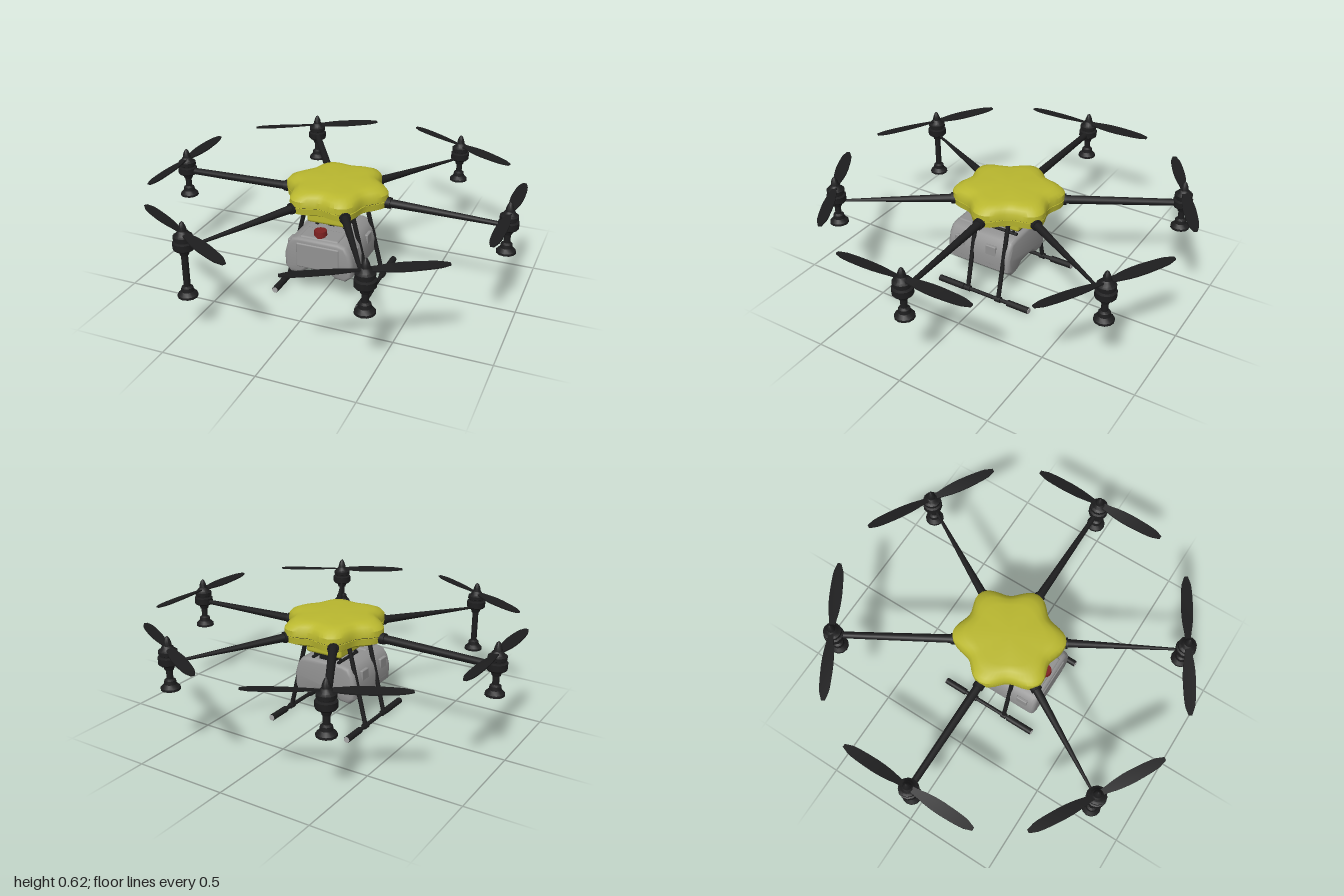
import * as THREE from 'three';
import { toCreasedNormals } from 'three/addons/utils/BufferGeometryUtils.js';
import { RoundedBoxGeometry } from 'three/addons/geometries/RoundedBoxGeometry.js';

const mat = (name, color) => Object.assign(new THREE.MeshStandardMaterial({ color }), { name });

export function createModel() {
  const yellow = mat('yellow shell', 0xbab82f);
  const black = mat('black carbon', 0x1d1d1e);
  const grey = mat('grey tank plastic', 0x929292);
  const red = mat('red cap', 0x7c2020);
  const pale = mat('pale tube end', 0xa8a8a8);
  const model = new THREE.Group();
  model.name = 'sprayDrone';

  const add = (parent, name, geometry, material, x = 0, y = 0, z = 0) => {
    const mesh = new THREE.Mesh(geometry, material);
    mesh.name = name;
    mesh.position.set(x, y, z);
    parent.add(mesh);
    return mesh;
  };

  // Round bar between two points, radius r0 at the start and r1 at the end
  const rod = (parent, name, a, b, r0, r1, material = black) => {
    const p = new THREE.Vector3(...a), q = new THREE.Vector3(...b);
    const dir = q.clone().sub(p);
    const mesh = add(parent, name, new THREE.CylinderGeometry(r1, r0, dir.length(), 12), material);
    mesh.position.copy(p).add(q).multiplyScalar(0.5);
    mesh.quaternion.setFromUnitVectors(new THREE.Vector3(0, 1, 0), dir.normalize());
    return mesh;
  };

  const lathe = (points, sides = 12) => toCreasedNormals(
    new THREE.LatheGeometry(points.map(([r, y]) => new THREE.Vector2(r, y)), sides), 0.6);

  // Six-lobed shell lofted through rings of [height, scale, lobe depth]
  const lobedShell = (rings, n = 72) => {
    const pos = [], index = [];
    rings.forEach(([y, s, depth], i) => {
      for (let j = 0; j < n; j++) {
        const t = (j / n) * Math.PI * 2;
        const r = s * (0.262 + depth * Math.cos(6 * t));
        pos.push(r * Math.cos(t), y, r * Math.sin(t) * 1.05);
        if (i === rings.length - 1) continue;
        const a = i * n + j, b = i * n + (j + 1) % n, c = a + n, d = b + n;
        index.push(a, c, b, b, c, d);
      }
    });
    const g = new THREE.BufferGeometry();
    g.setAttribute('position', new THREE.Float32BufferAttribute(pos, 3));
    g.setIndex(index);
    return toCreasedNormals(g, 0.6);
  };

  // Body shells with a dark seam between them
  add(model, 'upperShell', lobedShell([
    [0.519, 0.001, 0.027], [0.519, 0.99, 0.027], [0.55, 0.985, 0.027], [0.572, 0.92, 0.026],
    [0.588, 0.8, 0.02], [0.594, 0.65, 0.01], [0.596, 0.001, 0]]), yellow);
  add(model, 'shellSeam', lobedShell([
    [0.51, 0.96, 0.027], [0.522, 0.96, 0.027]]), black);
  add(model, 'lowerShell', lobedShell([
    [0.455, 0.001, 0], [0.455, 0.55, 0.01], [0.465, 0.86, 0.024], [0.48, 0.97, 0.027],
    [0.514, 0.985, 0.027], [0.514, 0.001, 0.027]]), yellow);
  add(model, 'belly', new RoundedBoxGeometry(0.22, 0.1, 0.28, 2, 0.015), yellow, 0, 0.437, 0.015);

  // Propeller blade: a flat box shaped along its span, with a slight pitch
  const blade = () => {
    const g = new THREE.BoxGeometry(1, 0.007, 1, 4, 1, 18);
    const widths = [0.026, 0.036, 0.052, 0.061, 0.064, 0.062, 0.058, 0.05, 0.018];
    const p = g.attributes.position;
    for (let i = 0; i < p.count; i++) {
      const t = p.getZ(i) + 0.5;
      const k = Math.min(Math.floor(t * 8), 7);
      const w = THREE.MathUtils.lerp(widths[k], widths[k + 1], t * 8 - k);
      const x = p.getX(i) * w, pitch = 0.2 * (1 - t) + 0.05;
      p.setXYZ(i, x, p.getY(i) + x * pitch, 0.01 + t * 0.37);
    }
    return toCreasedNormals(g.toNonIndexed(), 0.6);
  };
  const bladeGeo = blade();

  const motorGeo = lathe([[0, 0.472], [0.046, 0.472], [0.053, 0.48], [0.053, 0.512], [0.04, 0.517],
    [0.04, 0.524], [0.048, 0.528], [0.048, 0.546], [0.036, 0.553], [0.028, 0.566], [0.022, 0.572],
    [0.019, 0.59], [0.01, 0.612], [0, 0.622]]);
  const nozzleGeo = lathe([[0, 0], [0.051, 0], [0.05, 0.012], [0.032, 0.03], [0.029, 0.05],
    [0.018, 0.058], [0, 0.058]]);

  // Six arms; tip radius, tip height and nozzle height differ around the ring
  const arms = [
    [0.012, 0.49, 0.34], [0.006, 0.475, 0.34], [0.006, 0.475, 0.215],
    [0.018, 0.493, 0.34], [0.018, 0.493, 0.34], [0.006, 0.48, 0.34]];
  arms.forEach(([tipRadius, tipY, nozzleY], i) => {
    const arm = new THREE.Group();
    arm.name = 'armAssembly' + (i + 1);
    arm.rotation.y = -i * Math.PI / 3;
    model.add(arm);
    rod(arm, 'armSocket', [0.22, 0.503, 0], [0.305, 0.502, 0], 0.03, 0.03);
    rod(arm, 'arm', [0.28, 0.502, 0], [0.9, tipY, 0], 0.023, tipRadius);
    add(arm, 'motor', motorGeo, black, 0.92);
    rod(arm, 'nozzleStem', [0.92, nozzleY + 0.05, 0], [0.92, 0.475, 0], 0.017, 0.017);
    add(arm, 'stemCollar', new THREE.CylinderGeometry(0.032, 0.022, 0.03, 12), black, 0.92, 0.459);
    add(arm, 'nozzle', nozzleGeo, black, 0.92, nozzleY);
    for (const turn of [0, Math.PI]) {
      add(arm, 'propellerBlade', bladeGeo, black, 0.92, 0.56).rotation.y = turn;
    }
  });

  // Tank: half outline mirrored, extruded front to back
  const half = [[0.07, 0.175], [0.115, 0.14], [0.165, 0.135], [0.19, 0.16], [0.193, 0.24],
    [0.178, 0.3], [0.155, 0.335], [0.12, 0.346]];
  const inset = half.map(([x, y]) => [x * 0.9, 0.245 + (y - 0.245) * 0.84]);
  const outline = [...inset, ...inset.slice().reverse().map(([x, y]) => [-x, y])];
  const tankShape = new THREE.Shape(outline.map(([x, y]) => new THREE.Vector2(x, y)));
  const tankGeo = new THREE.ExtrudeGeometry(tankShape,
    { depth: 0.34, bevelThickness: 0.025, bevelSize: 0.018, bevelSegments: 3, steps: 1 });
  add(model, 'tank', toCreasedNormals(tankGeo, 0.7), grey, 0, 0, -0.093);
  add(model, 'tankFrontPanel', new RoundedBoxGeometry(0.24, 0.14, 0.02, 2, 0.008), grey, 0, 0.25, 0.268);
  add(model, 'tankShoulder', new RoundedBoxGeometry(0.22, 0.04, 0.12, 2, 0.012), grey, 0, 0.335, 0.195);
  for (const side of [-1, 1]) {
    for (const z of [0.195, 0]) {
      add(model, 'tankRib', new RoundedBoxGeometry(0.02, 0.12, 0.065, 2, 0.006), grey, side * 0.18, 0.245, z);
    }
  }
  add(model, 'fillerNeck', new THREE.CylinderGeometry(0.026, 0.026, 0.03, 20), red, 0, 0.36, 0.225);
  add(model, 'fillerCap', new THREE.CylinderGeometry(0.033, 0.035, 0.026, 20), red, 0, 0.379, 0.225);

  // Pump and hangers between the body and the tank
  add(model, 'pump', new RoundedBoxGeometry(0.1, 0.05, 0.08, 2, 0.008), black, 0, 0.36, -0.05);
  rod(model, 'pumpMotor', [0, 0.365, -0.03], [0, 0.365, 0.08], 0.024, 0.024);
  for (const x of [-0.08, 0.08]) {
    for (const z of [-0.08, 0.07]) rod(model, 'tankHanger', [x, 0.33, z], [x, 0.41, z], 0.007, 0.007);
    rod(model, 'hangerRail', [x, 0.352, -0.1], [x, 0.352, 0.09], 0.009, 0.009);
  }

  // Landing gear
  for (const side of [-1, 1]) {
    const gear = new THREE.Group();
    gear.name = side > 0 ? 'leftLandingGear' : 'rightLandingGear';
    model.add(gear);
    const x = side * 0.24;
    for (const z of [0.115, -0.08]) {
      rod(gear, 'leg', [x, 0.02, z], [side * 0.128, 0.475, z], 0.012, 0.012);
      rod(gear, 'legClamp', [x, 0.019, z - 0.016], [x, 0.019, z + 0.016], 0.017, 0.017);
    }
    rod(gear, 'skidTube', [x, 0.018, -0.27], [x, 0.018, 0.298], 0.011, 0.011);
    rod(gear, 'frontSkidGrip', [x, 0.018, 0.14], [x, 0.018, 0.298], 0.018, 0.018);
    rod(gear, 'rearSkidGrip', [x, 0.018, -0.27], [x, 0.018, -0.14], 0.018, 0.018);
    rod(gear, 'frontTubeEnd', [x, 0.018, 0.297], [x, 0.018, 0.301], 0.016, 0.016, pale);
    rod(gear, 'rearTubeEnd', [x, 0.018, -0.273], [x, 0.018, -0.269], 0.016, 0.016, pale);
  }
  return model;
}
